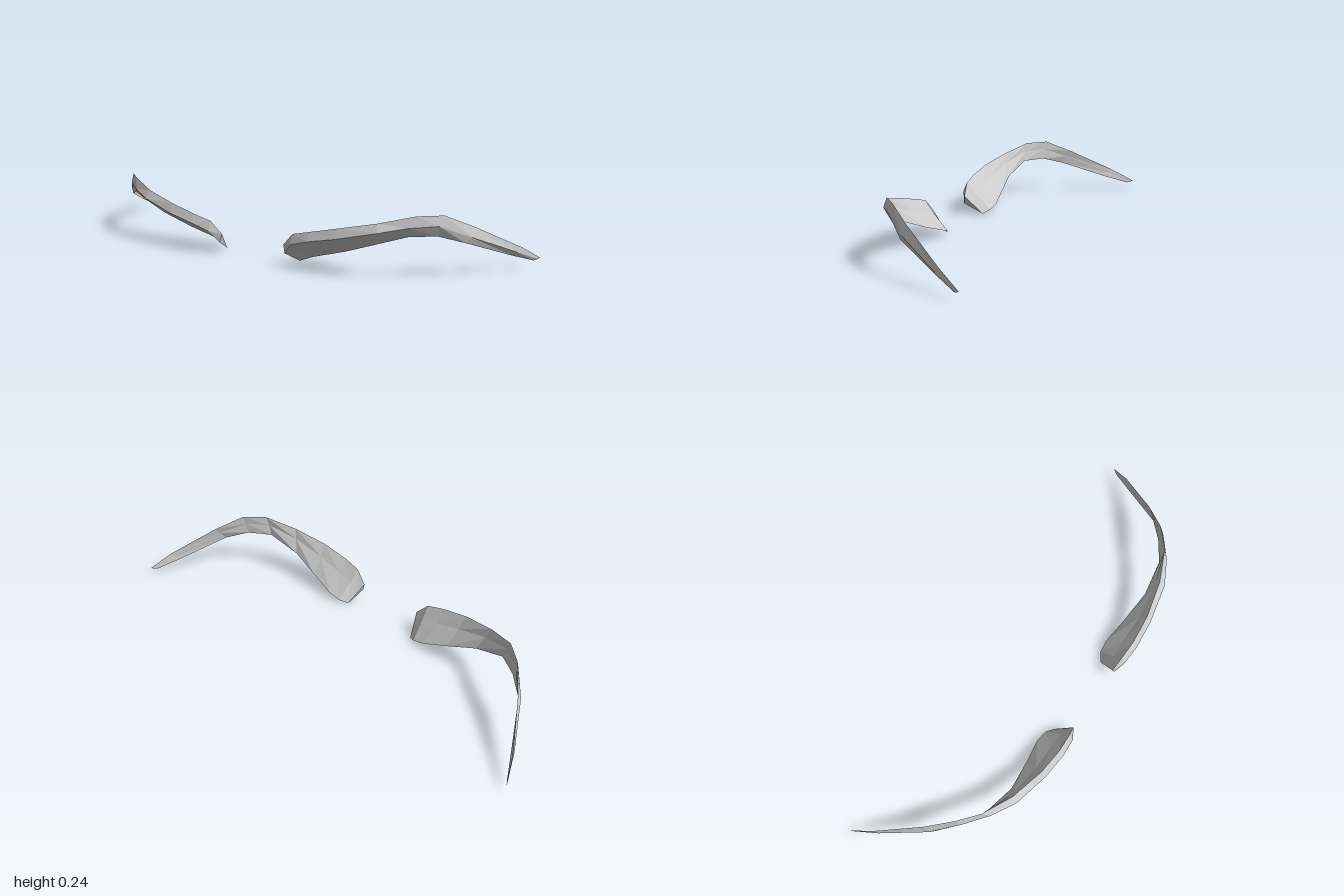
import * as THREE from 'three';

// Stations from inner end to outer tip: top edge, front ridge, lower edge
const STATIONS = [
  [[0.15, 0.078, 0.244], [0.16, 0.045, 0.25], [0.18, 0.0, 0.17]],
  [[0.2, 0.13, 0.255], [0.2, 0.09, 0.272], [0.215, 0.014, 0.147]],
  [[0.28, 0.15, 0.26], [0.28, 0.115, 0.28], [0.27, 0.03, 0.143]],
  [[0.4, 0.178, 0.252], [0.4, 0.14, 0.272], [0.38, 0.065, 0.162]],
  [[0.55, 0.21, 0.218], [0.56, 0.178, 0.24], [0.51, 0.113, 0.18]],
  [[0.68, 0.243, 0.16], [0.66, 0.2, 0.187], [0.65, 0.161, 0.16]],
  [[0.76, 0.243, 0.09], [0.75, 0.205, 0.115], [0.74, 0.163, 0.1]],
  [[0.84, 0.19, -0.01], [0.84, 0.155, 0.015], [0.82, 0.134, 0.03]],
  [[0.957, 0.09, -0.19], [0.947, 0.075, -0.165], [0.93, 0.06, -0.16]],
  [[1.0, 0.035, -0.28], [0.995, 0.031, -0.268], [0.984, 0.027, -0.255]],
];

// Adds the back crease, giving a four-cornered section
function section(points) {
  const [top, ridge, low] = points.map((p) => new THREE.Vector3(...p));
  const back = top.clone().lerp(low, 0.4);
  back.lerp(ridge.clone().lerp(low, 0.4), 0.15);
  return [top, ridge, low, back];
}

function browGeometry(side) {
  const rings = STATIONS.map(section);
  const pos = [];
  const tri = (a, b, c) => {
    for (const p of side > 0 ? [a, b, c] : [a, c, b]) pos.push(p.x * side, p.y, p.z);
  };
  const quad = (a, b, c, d) => {
    tri(a, b, c);
    tri(a, c, d);
  };
  // Skin between neighbouring sections
  for (let i = 0; i < rings.length - 1; i++) {
    for (let k = 0; k < 4; k++) {
      const n = (k + 1) % 4;
      quad(rings[i][k], rings[i][n], rings[i + 1][n], rings[i + 1][k]);
    }
  }
  // End caps
  const [t, m, l, b] = rings[0];
  quad(t, b, l, m);
  quad(...rings[rings.length - 1]);

  const geometry = new THREE.BufferGeometry();
  geometry.setAttribute('position', new THREE.Float32BufferAttribute(pos, 3));
  geometry.computeVertexNormals();
  return geometry;
}

export function createModel() {
  const group = new THREE.Group();
  group.name = 'eyebrows';
  const material = new THREE.MeshStandardMaterial({ color: 0xcccccc, flatShading: true });
  for (const side of [1, -1]) {
    const brow = new THREE.Mesh(browGeometry(side), material);
    brow.name = side > 0 ? 'leftEyebrow' : 'rightEyebrow';
    group.add(brow);
  }
  return group;
}
